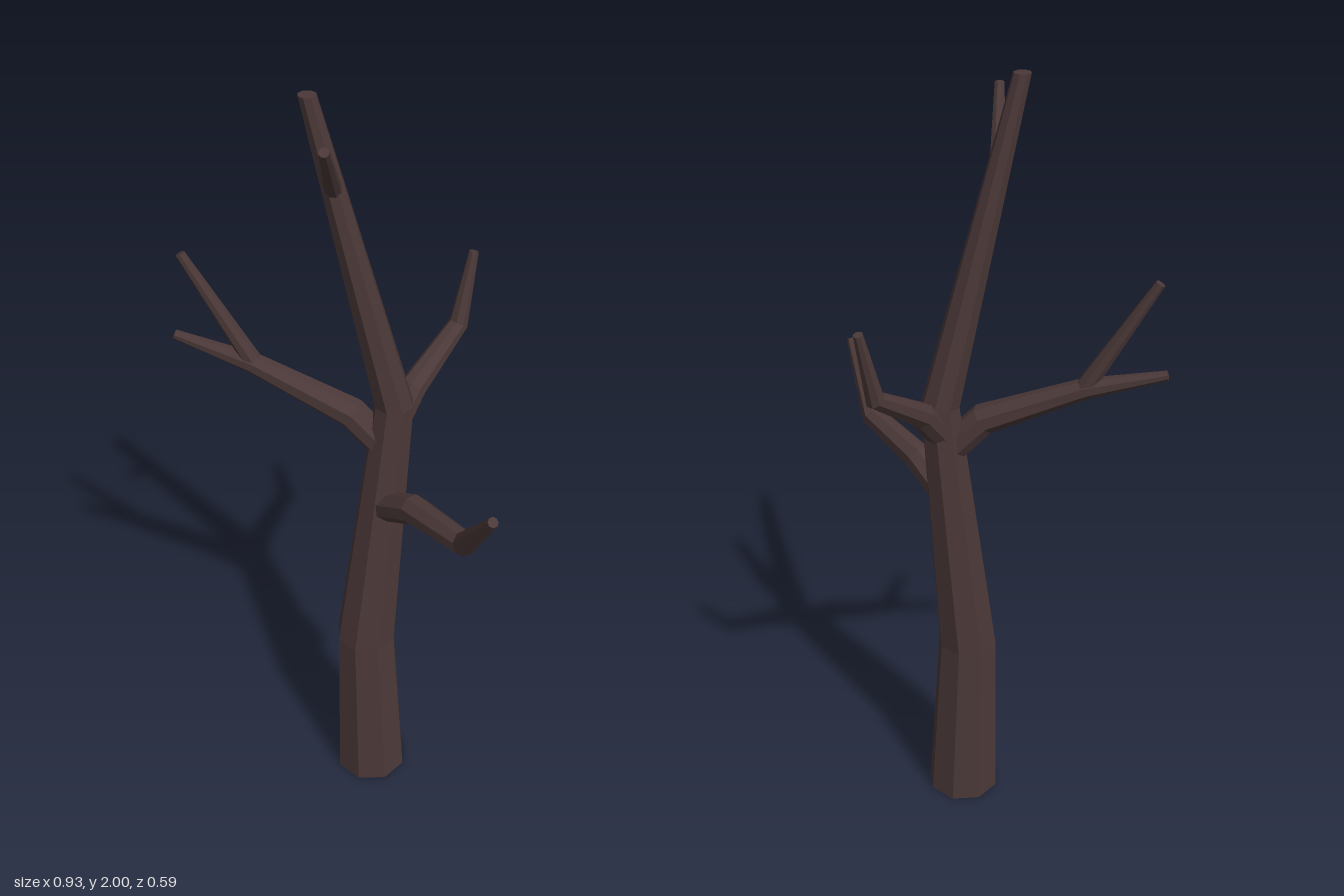
import * as THREE from 'three';

const bark = new THREE.MeshStandardMaterial({ color: 0x4b3838 });
bark.name = 'dark bark';
bark.flatShading = true;

// Tapered limb through nodes [x, y, z, radius]; level keeps every ring horizontal
function limb(name, nodes, sides, level = false) {
  const pts = nodes.map(n => new THREE.Vector3(n[0], n[1], n[2]));
  const last = pts.length - 1;
  const pos = [], idx = [];
  const side = new THREE.Vector3(), up = new THREE.Vector3();
  const ref = new THREE.Vector3().subVectors(pts[last], pts[0]).cross(new THREE.Vector3(0, 1, 0)).normalize();
  pts.forEach((p, i) => {
    const t = new THREE.Vector3(0, 1, 0);
    if (!level) {
      t.set(0, 0, 0);
      if (i > 0) t.add(pts[i].clone().sub(pts[i - 1]).normalize());
      if (i < last) t.add(pts[i + 1].clone().sub(pts[i]).normalize());
      t.normalize();
    }
    side.copy(level ? new THREE.Vector3(1, 0, 0) : ref);
    side.addScaledVector(t, -side.dot(t)).normalize();
    up.crossVectors(t, side);
    for (let k = 0; k < sides; k++) {
      const a = ((k + 0.5) / sides) * Math.PI * 2;
      const v = p.clone()
        .addScaledVector(side, Math.cos(a) * nodes[i][3])
        .addScaledVector(up, Math.sin(a) * nodes[i][3]);
      pos.push(v.x, v.y, v.z);
    }
  });
  for (let i = 0; i < last; i++) {
    for (let k = 0; k < sides; k++) {
      const a = i * sides + k, b = i * sides + (k + 1) % sides;
      idx.push(a, b, b + sides, a, b + sides, a + sides);
    }
  }
  // End caps
  const top = last * sides;
  for (let k = 1; k < sides - 1; k++) {
    idx.push(0, k + 1, k, top, top + k, top + k + 1);
  }
  const indexed = new THREE.BufferGeometry();
  indexed.setAttribute('position', new THREE.Float32BufferAttribute(pos, 3));
  indexed.setIndex(idx);
  const geo = indexed.toNonIndexed();
  geo.computeVertexNormals();
  const mesh = new THREE.Mesh(geo, bark);
  mesh.name = name;
  return mesh;
}

export function createModel() {
  const tree = new THREE.Group();
  tree.name = 'bareTree';
  tree.add(
    // Main stem, bent twice
    limb('trunk', [
      [-0.022, 0, 0.077, 0.095], [-0.029, 0.48, 0.082, 0.078],
      [0.004, 1.2, 0.008, 0.049], [-0.113, 2, 0.147, 0.021],
    ], 8, true),
    limb('topTwig', [[-0.08, 1.77, 0.108, 0.021], [0.011, 1.938, 0.224, 0.012]], 8),
    // Lower branch on the left side
    limb('leftBranch', [
      [0.005, 0.91, 0.05, 0.038], [0.13, 0.98, 0.073, 0.038],
      [0.328, 1.015, 0.117, 0.031], [0.452, 1.182, 0.171, 0.013],
    ], 8),
    // Forked branch on the right side
    limb('rightBranch', [
      [-0.005, 1.07, 0.022, 0.04], [-0.08, 1.165, 0.07, 0.039],
      [-0.29, 1.27, 0.188, 0.026], [-0.458, 1.323, 0.284, 0.012],
    ], 8),
    limb('rightFork', [[-0.285, 1.262, 0.184, 0.024], [-0.428, 1.55, 0.27, 0.012]], 8),
    // Branch growing to the back
    limb('backBranch', [
      [-0.003, 1.12, 0.005, 0.034], [-0.005, 1.205, -0.07, 0.033],
      [-0.005, 1.31, -0.232, 0.024], [-0.005, 1.49, -0.282, 0.012],
    ], 8),
  );
  return tree;
}
